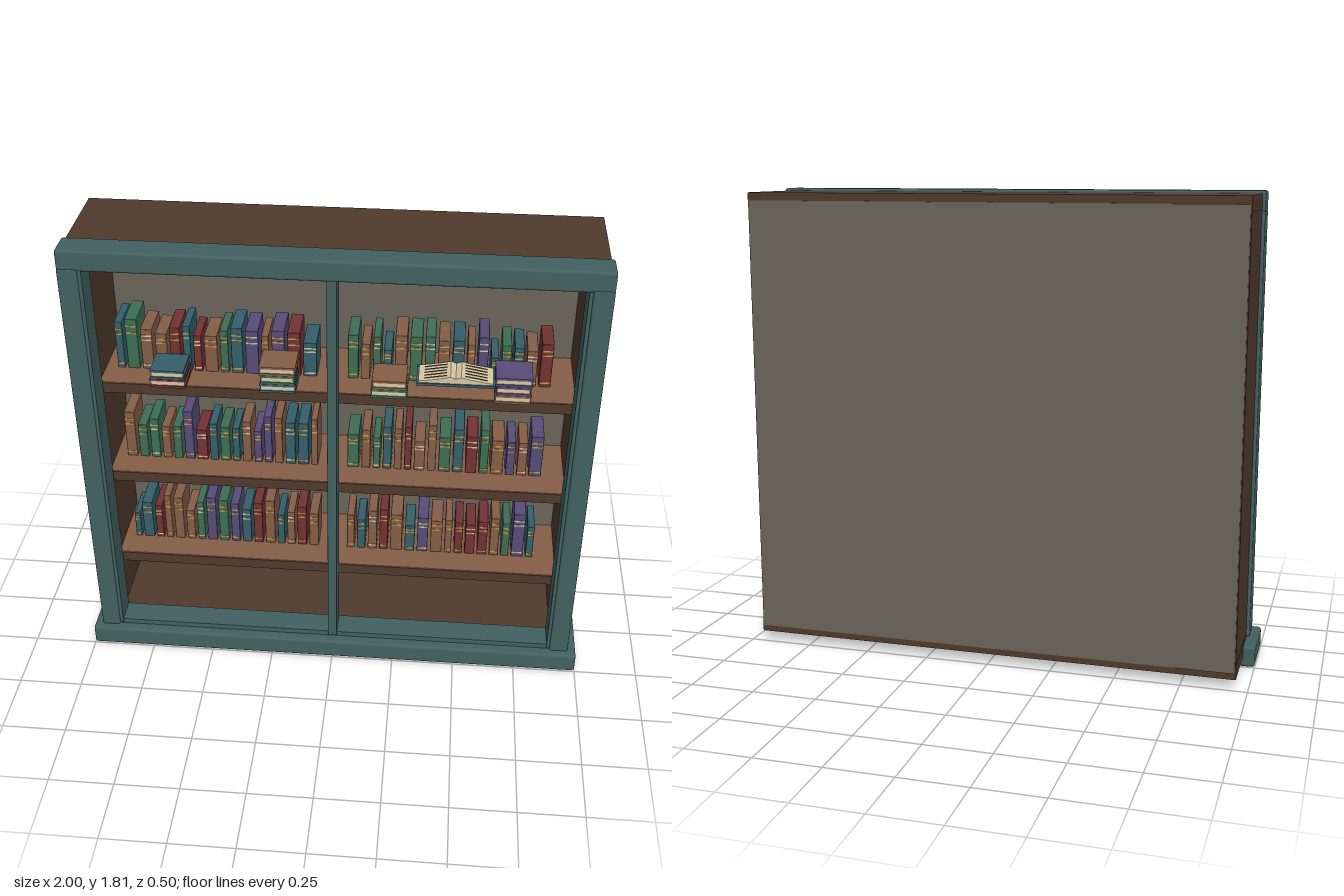
import * as THREE from 'three';
import { RoundedBoxGeometry } from 'three/addons/geometries/RoundedBoxGeometry.js';

const palette = {
  frameTeal: 0x426060, darkWood: 0x503a2d, shelfWood: 0x855e48, backTaupe: 0x6a655b,
  blue: 0x34606a, green: 0x3e6e56, red: 0x743232, purple: 0x574c78,
  paper: 0xd8c8a4, gold: 0xc49a48,
};

export function createModel() {
  const mats = {};
  for (const [name, color] of Object.entries(palette)) {
    mats[name] = new THREE.MeshStandardMaterial({ color });
    mats[name].name = name;
  }
  const root = new THREE.Group();
  root.name = 'windowBookcase';

  // Box from its limits on each axis, optionally with softened edges
  function box(parent, name, mat, [x0, x1], [y0, y1], [z0, z1], r = 0) {
    const s = [x1 - x0, y1 - y0, z1 - z0];
    const geo = r ? new RoundedBoxGeometry(...s, 2, r) : new THREE.BoxGeometry(...s);
    const mesh = new THREE.Mesh(geo, mats[mat]);
    mesh.name = name;
    mesh.position.set((x0 + x1) / 2, (y0 + y1) / 2, (z0 + z1) / 2);
    parent.add(mesh);
    return mesh;
  }
  function group(name, parent = root) {
    const g = new THREE.Group();
    g.name = name;
    parent.add(g);
    return g;
  }

  // Window frame and sill
  const frame = group('frame');
  box(frame, 'sill', 'frameTeal', [-1, 1], [0, 0.083], [0, 0.25], 0.012);
  box(frame, 'topRail', 'frameTeal', [-0.967, 0.967], [1.73, 1.81], [0.11, 0.22], 0.01);
  box(frame, 'bottomRail', 'frameTeal', [-0.9, 0.9], [0.08, 0.105], [0.11, 0.21]);
  box(frame, 'mullion', 'frameTeal', [-0.018, 0.018], [0.09, 1.735], [0.11, 0.22], 0.005);
  for (const s of [-1, 1]) {
    const span = (a, b) => (s > 0 ? [a, b] : [-b, -a]);
    box(frame, 'sidePost', 'frameTeal', span(0.893, 0.967), [0.08, 1.74], [0.11, 0.222], 0.008);
    box(frame, 'innerTrim', 'frameTeal', span(0.88, 0.895), [0.09, 1.74], [0.11, 0.215]);
  }

  // Cabinet shell
  const shell = group('cabinet');
  box(shell, 'topPanel', 'darkWood', [-0.955, 0.955], [1.742, 1.8], [-0.243, 0.112]);
  box(shell, 'bottomPanel', 'darkWood', [-0.955, 0.955], [0.04, 0.095], [-0.243, 0.112]);
  for (const s of [-1, 1]) {
    box(shell, 'sidePanel', 'darkWood', s > 0 ? [0.895, 0.954] : [-0.954, -0.895],
      [0.094, 1.743], [-0.243, 0.112]);
  }
  box(shell, 'backPanel', 'backTaupe', [-0.95, 0.95], [0.065, 1.77], [-0.248, -0.236]);

  // Shelves with a dark front edge
  const shelfTops = [0.375, 0.787, 1.202];
  for (const y of shelfTops) {
    const shelf = group('shelf');
    box(shelf, 'shelfBoard', 'shelfWood', [-0.895, 0.895], [y - 0.043, y], [-0.24, 0.09]);
    box(shelf, 'shelfEdge', 'darkWood', [-0.895, 0.895], [y - 0.043, y], [0.09, 0.1]);
  }

  // Small seeded generator for book sizes
  let seed = 7;
  const random = () => {
    seed = (seed * 16807) % 2147483647;
    return seed / 2147483647;
  };

  // Upright books: each cover letter has a colour and a typical height
  const covers = {
    b: ['blue', 0.16], g: ['green', 0.19], r: ['red', 0.165], p: ['purple', 0.18], t: ['shelfWood', 0.18],
  };
  const rows = [
    ['bbrtttgpgpbrtbtrt', 'tbtrtbpttrrrtgpb'],
    ['tggtgprbgbtpptbbt', 'gtgbtrttgbrgtptp'],
    ['bgttrbrtgbptprb', 'gtgbtggtbtpbgbtr'],
  ];
  function bookRow(letters, start, length, y) {
    const row = group('bookRow');
    const gap = 0.011;
    const shares = [...letters].map(() => 0.7 + 0.6 * random());
    const unit = (length - gap * (letters.length - 1)) / shares.reduce((a, b) => a + b);
    let x = start;
    shares.forEach((share, i) => {
      const [color, typical] = covers[letters[i]];
      const w = share * unit, h = typical + 0.09 * (random() - 0.5);
      const book = group('book', row);
      box(book, 'bookCover', color, [x, x + w], [y, y + h], [-0.165, -0.015], 0.003);
      // Thin bands across the spine
      for (const f of i % 3 === 1 ? [0.72, 0.86] : [0.1, 0.74, 0.84]) {
        box(book, 'spineBand', i % 4 === 2 ? 'paper' : 'gold', [x + 0.003, x + w - 0.003],
          [y + f * h - 0.003, y + f * h + 0.003], [-0.016, -0.0135]);
      }
      x += w + gap;
    });
  }
  rows.forEach(([leftLetters, rightLetters], level) => {
    bookRow(leftLetters, -0.848, 0.77, shelfTops[level]);
    bookRow(rightLetters, 0.04, 0.765, shelfTops[level]);
  });

  // Stacks of books lying flat: covers above and below a page block
  const t = 0.037;
  for (const [cx, letters] of [[-0.63, 'rb'], [-0.214, 'bgt'], [0.203, 'gt'], [0.661, 'tpp']]) {
    const stack = group('bookStack');
    [...letters].forEach((c, i) => {
      const y = shelfTops[2] + i * t, hw = 0.068 - (i % 2) * 0.004, [color] = covers[c];
      box(stack, 'lowerCover', color, [cx - hw, cx + hw], [y, y + 0.009], [-0.012, 0.115]);
      box(stack, 'pages', 'paper', [cx - hw + 0.004, cx + hw - 0.004], [y + 0.009, y + t - 0.01], [-0.008, 0.111]);
      box(stack, 'upperCover', color, [cx - hw, cx + hw], [y + t - 0.01, y + t - 0.001], [-0.012, 0.115]);
    });
  }

  // Open book with two arched page halves and thin printed lines
  const open = group('openBook');
  open.position.set(0.448, 1.265, 0);
  box(open, 'openCover', 'blue', [-0.145, 0.145], [0, 0.01], [-0.012, 0.115]);
  for (const s of [-1, 1]) {
    const half = new THREE.Shape();
    half.moveTo(0, 0.01);
    half.lineTo(s * 0.138, 0.01);
    half.lineTo(s * 0.138, 0.016);
    half.quadraticCurveTo(s * 0.06, 0.026, s * 0.02, 0.038);
    half.lineTo(0, 0.03);
    const pages = new THREE.Mesh(
      new THREE.ExtrudeGeometry(half, { depth: 0.115, bevelEnabled: false, curveSegments: 6 }), mats.paper);
    pages.name = 'openPages';
    pages.position.z = -0.006;
    open.add(pages);
    for (let i = 0; i < 5; i++) {
      const z = 0.012 + i * 0.02;
      const line = box(open, 'printedLine', 'darkWood', [-0.042, 0.042], [0, 0.002], [z, z + 0.004]);
      line.position.set(s * 0.075, 0.0275, z);
      line.rotation.z = -s * 0.18;
    }
  }
  return root;
}
